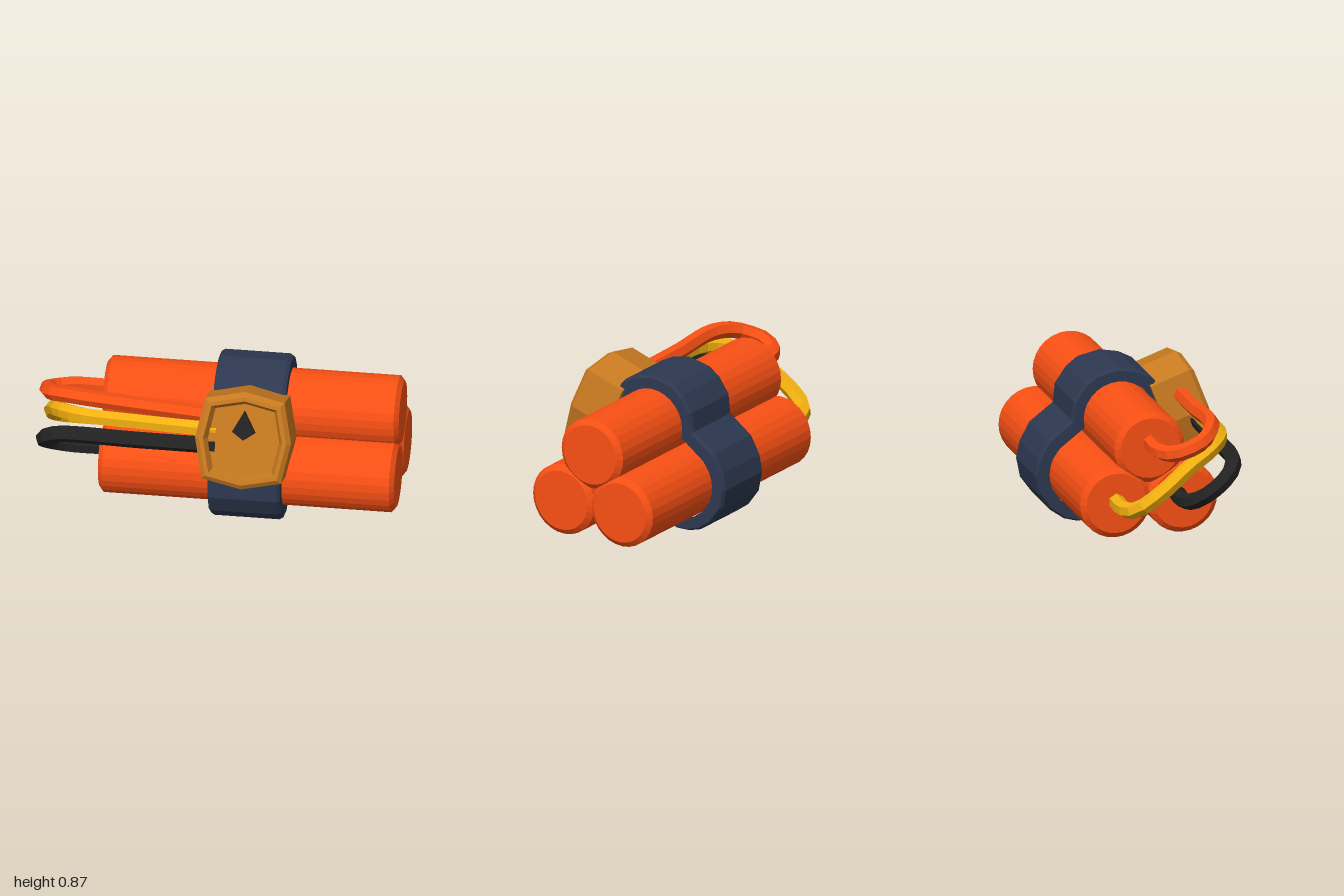
import * as THREE from 'three';

const mat = (color) => new THREE.MeshStandardMaterial({ color, flatShading: true });
const orange = mat(0xf95014);
const navy = mat(0x2d3850);
const ochre = mat(0xc87a20);
const yellow = mat(0xf2b010);
const black = mat(0x222222);

function part(name, geometry, material, parent) {
  const mesh = new THREE.Mesh(geometry, material);
  mesh.name = name;
  parent.add(mesh);
  return mesh;
}

// Lathe profile from [radius, height] pairs
const lathe = (pts, sides) =>
  new THREE.LatheGeometry(pts.map(([r, h]) => new THREE.Vector2(r, h)), sides);

// Moves a clockwise closed outline inward by d with mitred corners
function inset(pts, d) {
  return pts.map((p, i) => {
    const prev = pts[(i + pts.length - 1) % pts.length];
    const next = pts[(i + 1) % pts.length];
    const a = p.clone().sub(prev).normalize();
    const b = next.clone().sub(p).normalize();
    const na = new THREE.Vector2(a.y, -a.x);
    const nb = new THREE.Vector2(b.y, -b.x);
    const m = na.clone().add(nb).normalize();
    return p.clone().addScaledVector(m, d / Math.max(0.5, m.dot(na)));
  });
}

// Bevelled cylinder lying along x
function addStick(name, y, z, parent) {
  const h = 0.82;
  const geo = lathe([[0, -h], [0.17, -h], [0.201, -h + 0.025], [0.201, h - 0.025], [0.17, h], [0, h]], 28);
  geo.rotateZ(-Math.PI / 2);
  part(name, geo, orange, parent).position.set(0.175, y, z);
}

// Strap that follows the three cylinders; outline given as [z, y]
function addStrap(parent) {
  const outline = [
    [0.165, 0.767], [0.13, 0.805], [0.054, 0.844], [-0.054, 0.864], [-0.179, 0.835],
    [-0.244, 0.784], [-0.307, 0.693], [-0.318, 0.585], [-0.452, 0.483], [-0.508, 0.38],
    [-0.528, 0.284], [-0.506, 0.173], [-0.438, 0.08], [-0.361, 0.026], [-0.287, 0.006],
    [-0.205, 0.006], [-0.11, 0.043], [-0.054, 0.108], [0.006, 0.045], [0.125, 0.003],
    [0.26, 0.034], [0.36, 0.122], [0.41, 0.23], [0.41, 0.364], [0.335, 0.49],
    [0.21, 0.585], [0.2, 0.69],
  ].map(([z, y]) => new THREE.Vector2(-z, y));
  const shape = new THREE.Shape(outline);
  shape.holes.push(new THREE.Path(inset(outline, 0.066)));
  const geo = new THREE.ExtrudeGeometry(shape, {
    depth: 0.36, bevelEnabled: true, bevelThickness: 0.02,
    bevelSize: 0.012, bevelOffset: -0.012, bevelSegments: 1,
  });
  geo.rotateY(Math.PI / 2);
  part('strap', geo, navy, parent).position.x = -0.005;
}

// Eight-sided timer case with a recessed dial and a pointer
function addTimer(parent) {
  const timer = new THREE.Group();
  timer.name = 'timer';
  timer.position.set(0.175, 0.624, 0.446);
  timer.rotation.x = -THREE.MathUtils.degToRad(19.7);
  parent.add(timer);

  const geo = lathe([[0, -0.26], [0.27, -0.26], [0.27, -0.025], [0.245, 0], [0.222, 0], [0.2, -0.05], [0, -0.05]], 8);
  // Push the diagonal corners out so the octagon becomes squarer
  const pos = geo.attributes.position;
  for (let i = 0; i < pos.count; i++) {
    const x = pos.getX(i), z = pos.getZ(i);
    const k = 1 + 0.17 * Math.abs(Math.sin(2 * Math.atan2(x, z)));
    pos.setX(i, x * k * 0.985);
    pos.setZ(i, z * k * 1.01);
  }
  geo.rotateX(Math.PI / 2);
  geo.computeVertexNormals();
  part('timerCase', geo, ochre, timer);

  const kite = new THREE.Shape([[0, 0], [0.064, 0.045], [0, 0.165], [-0.064, 0.045]]
    .map(([x, y]) => new THREE.Vector2(x, y)));
  const pointer = new THREE.ExtrudeGeometry(kite, { depth: 0.025, bevelEnabled: false });
  part('timerPointer', pointer, black, timer).position.z = -0.052;
}

// Six-sided wire along a smooth path
function addWire(name, material, pts, parent) {
  const curve = new THREE.CatmullRomCurve3(pts.map((p) => new THREE.Vector3(...p)), false, 'centripetal');
  part(name, new THREE.TubeGeometry(curve, 24, 0.046, 6, false), material, parent);
}

export function createModel() {
  const model = new THREE.Group();
  model.name = 'bundle';

  addStick('topStick', 0.588, -0.052, model);
  addStick('frontStick', 0.288, 0.135, model);
  addStick('backStick', 0.288, -0.247, model);
  addStrap(model);
  addTimer(model);

  // Wires loop from the cylinder ends round to the back of the timer
  addWire('blackWire', black, [
    [-0.6, 0.32, 0.1], [-0.82, 0.32, 0.1], [-0.92, 0.36, 0.15], [-0.955, 0.43, 0.24],
    [-0.92, 0.5, 0.325], [-0.85, 0.54, 0.36], [-0.4, 0.545, 0.375], [0.02, 0.55, 0.385],
  ], model);
  addWire('yellowWire', yellow, [
    [-0.6, 0.3, -0.245], [-0.82, 0.3, -0.245], [-0.92, 0.33, -0.2], [-0.95, 0.42, -0.08],
    [-0.91, 0.55, 0.1], [-0.86, 0.61, 0.22], [-0.72, 0.645, 0.32], [-0.4, 0.64, 0.34], [0.02, 0.63, 0.35],
  ], model);
  addWire('redWire', orange, [
    [-0.6, 0.62, -0.05], [-0.82, 0.62, -0.05], [-0.92, 0.63, 0], [-0.955, 0.66, 0.08],
    [-0.92, 0.69, 0.17], [-0.86, 0.715, 0.22], [-0.72, 0.73, 0.27], [-0.4, 0.71, 0.28], [0.02, 0.69, 0.3],
  ], model);

  return model;
}
